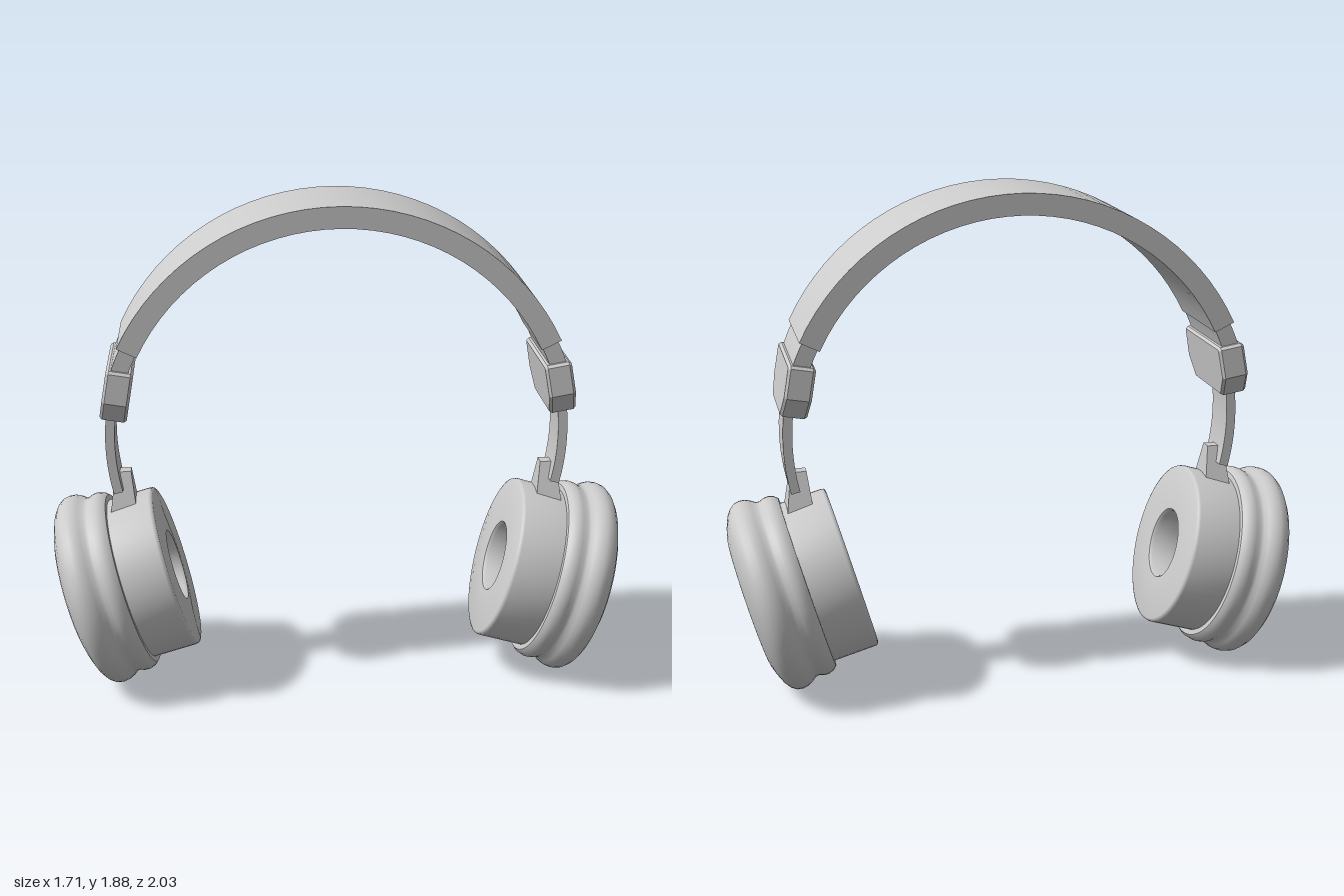
import * as THREE from 'three';
import { toCreasedNormals } from 'three/addons/utils/BufferGeometryUtils.js';

const material = new THREE.MeshStandardMaterial({ color: 0xcccccc });
const ARC_Y = 0.99; // height of the centre shared by all the headband arcs
const rad = THREE.MathUtils.degToRad;

function part(name, geometry, crease = 0.5) {
  const mesh = new THREE.Mesh(toCreasedNormals(geometry, crease), material);
  mesh.name = name;
  return mesh;
}

// Curved strip in the XY plane, centred across Z
function arcStrip(name, outer, inner, startDeg, endDeg, width, segments) {
  const a = rad(startDeg), b = rad(endDeg);
  const shape = new THREE.Shape();
  shape.absarc(0, ARC_Y, outer, a, b, false);
  shape.absarc(0, ARC_Y, inner, b, a, true);
  const geo = new THREE.ExtrudeGeometry(shape, { depth: width, bevelEnabled: false, curveSegments: segments });
  geo.translate(0, 0, -width / 2);
  return part(name, geo);
}

function lathe(name, profile, crease) {
  return part(name, new THREE.LatheGeometry(profile.map(p => new THREE.Vector2(...p)), 56), crease);
}

// Clip with cut lower corners, leaning with the arc
function sliderClip() {
  const outline = [[-0.15, -0.1], [0.15, -0.1], [0.21, -0.02], [0.205, 0.09], [0.195, 0.1],
    [-0.195, 0.1], [-0.205, 0.09], [-0.21, -0.02]];
  const shape = new THREE.Shape(outline.map(p => new THREE.Vector2(...p)));
  const geo = new THREE.ExtrudeGeometry(shape, {
    depth: 0.08, bevelThickness: 0.01, bevelSize: 0.008, bevelOffset: -0.008, bevelSegments: 1
  });
  geo.translate(0, 0, -0.04).rotateY(Math.PI / 2).rotateZ(rad(10)).translate(0.817, 1.197, 0);
  return part('sliderClip', geo, 0.3);
}

// Tapered foot joining the arm to the ear cup
function hinge() {
  const geo = new THREE.CylinderGeometry(Math.SQRT1_2, Math.SQRT1_2, 1, 4).rotateY(Math.PI / 4);
  const pos = geo.attributes.position;
  for (let i = 0; i < pos.count; i++) {
    const top = pos.getY(i) > 0;
    pos.setX(i, pos.getX(i) * (top ? 0.06 : 0.1));
    pos.setZ(i, pos.getZ(i) * (top ? 0.05 : 0.15));
  }
  geo.scale(1, 0.155, 1).translate(0.812, 0.778, 0);
  return part('hinge', geo, 0.2);
}

// Ear cup built along its axis, then tipped outward and down
function earCup() {
  const cup = new THREE.Group();
  cup.name = 'earCup';
  cup.add(lathe('cushion', [
    [0, 0.15], [0.13, 0.15], [0.13, 0.012], [0.138, 0], [0.304, 0],
    [0.313, 0.004], [0.316, 0.014], [0.316, 0.19]
  ], 0.9));
  cup.add(lathe('shell', [
    [0.3, 0.178], [0.336, 0.178], [0.349, 0.192], [0.356, 0.212], [0.355, 0.232],
    [0.348, 0.25], [0.35, 0.264], [0.362, 0.28], [0.372, 0.3], [0.375, 0.322],
    [0.371, 0.343], [0.358, 0.362], [0.335, 0.379], [0.295, 0.396], [0.262, 0.406],
    [0.25, 0.408], [0, 0.408]
  ], 0.8));
  cup.position.set(0.62, 0.46, 0);
  cup.rotation.z = -(Math.PI / 2 + 0.284);
  return cup;
}

export function createModel() {
  const model = new THREE.Group();
  model.name = 'headphones';
  model.add(arcStrip('headband', 0.9, 0.82, 26, 154, 0.4, 16));

  // The two sides are the same, turned half a circle
  for (const [name, turn] of [['leftSide', 0], ['rightSide', Math.PI]]) {
    const side = new THREE.Group();
    side.name = name;
    side.add(
      arcStrip('bandNeck', 0.888, 0.826, 17, 27, 0.37, 3),
      sliderClip(),
      arcStrip('sliderArm', 0.87, 0.835, -13.5, 14, 0.165, 8),
      hinge(),
      earCup()
    );
    side.rotation.y = turn;
    model.add(side);
  }

  // The whole headset stands turned about the vertical
  model.rotation.y = 0.957;
  return model;
}
